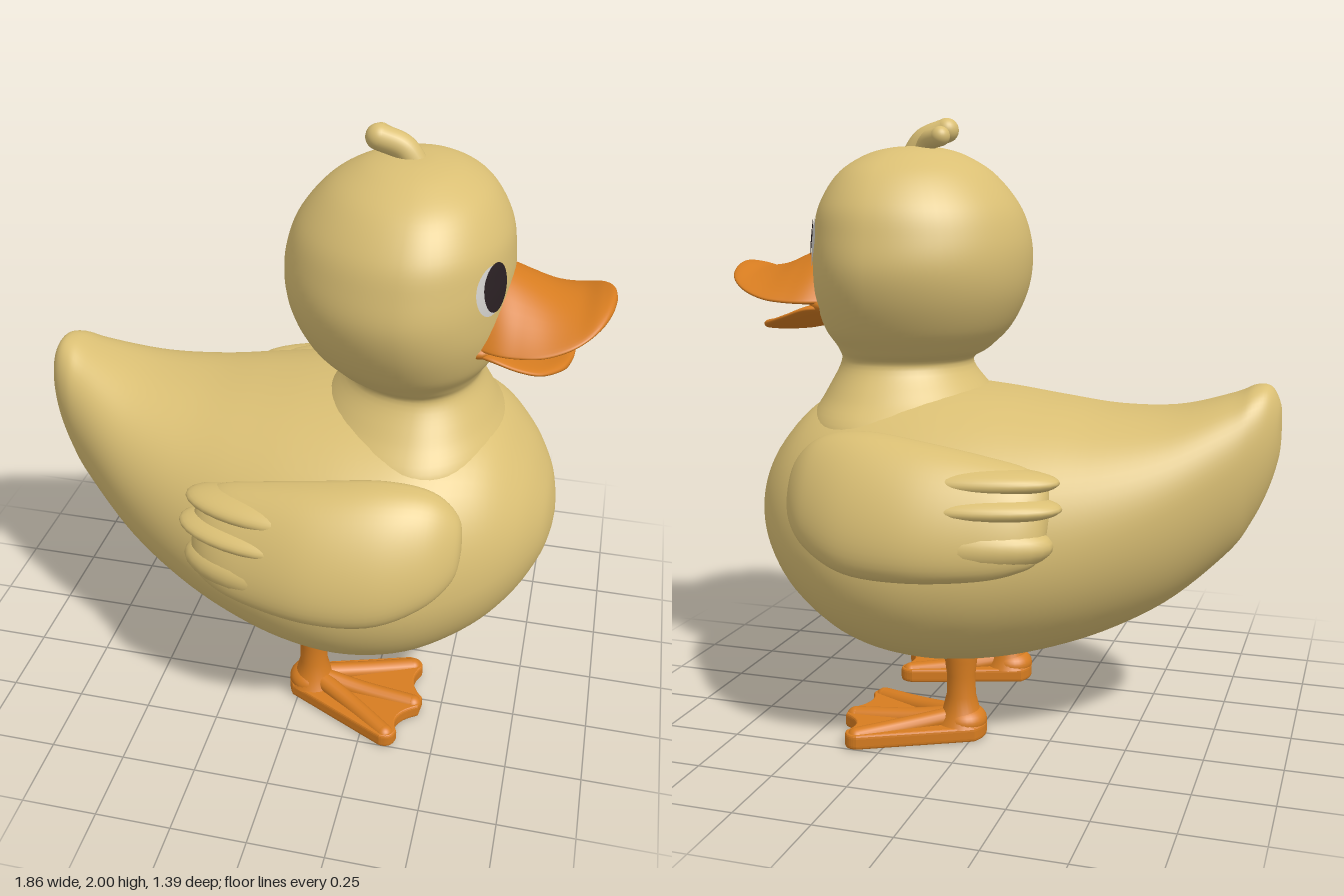
import * as THREE from 'three';

const material = (name, color) => {
  const m = new THREE.MeshStandardMaterial({ color });
  m.name = name;
  return m;
};

// Smoothly resample a table of section values, column by column
function resample(rows, count) {
  const columns = rows[0].map((_, c) => new THREE.SplineCurve(rows.map((r, i) => new THREE.Vector2(i, r[c]))));
  return Array.from({ length: count + 1 }, (_, i) => columns.map((curve) => curve.getPoint(i / count).y));
}

// Skin closed rings; section(row, angle) gives a point. Faces always end up outward.
function loft(rows, section, count = 48, sides = 48) {
  const position = [];
  const index = [];
  resample(rows, count).forEach((row) => {
    for (let j = 0; j < sides; j++) position.push(...section(row, (j / sides) * Math.PI * 2));
  });
  for (let i = 0; i < count; i++) {
    for (let j = 0; j < sides; j++) {
      const k = (j + 1) % sides;
      const a = i * sides + j, b = i * sides + k, c = a + sides, d = b + sides;
      index.push(a, b, c, b, d, c);
    }
  }
  const p = (i) => new THREE.Vector3().fromArray(position, i * 3);
  const middle = p(Math.floor(count / 2) * sides).add(p(Math.floor(count / 2) * sides + sides / 2)).multiplyScalar(0.5);
  let volume = 0;
  for (let i = 0; i < index.length; i += 3) {
    const [a, b, c] = [p(index[i]), p(index[i + 1]), p(index[i + 2])].map((v) => v.sub(middle));
    volume += a.dot(b.cross(c));
  }
  if (volume < 0) index.reverse();
  const g = new THREE.BufferGeometry();
  g.setAttribute('position', new THREE.Float32BufferAttribute(position, 3));
  g.setIndex(index);
  g.computeVertexNormals();
  return g;
}

const signedPower = (v, e) => Math.sign(v) * Math.abs(v) ** e;

// Body rows: x, top, bottom, height of widest line, half width
const BODY = [
  [-0.932, 1.06, 1.0, 1.03, 0], [-0.925, 1.11, 0.93, 1.02, 0.06], [-0.897, 1.16, 0.83, 0.99, 0.115],
  [-0.85, 1.165, 0.725, 0.95, 0.165], [-0.78, 1.135, 0.62, 0.9, 0.22], [-0.6, 1.085, 0.455, 0.79, 0.342],
  [-0.4, 1.075, 0.342, 0.71, 0.448], [-0.2, 1.095, 0.27, 0.66, 0.53], [0, 1.12, 0.228, 0.63, 0.585],
  [0.2, 1.135, 0.22, 0.62, 0.602], [0.4, 1.13, 0.256, 0.64, 0.565], [0.58, 1.08, 0.35, 0.67, 0.462],
  [0.7, 0.97, 0.46, 0.7, 0.34], [0.775, 0.855, 0.575, 0.71, 0.2], [0.803, 0.77, 0.65, 0.71, 0.085],
  [0.81, 0.71, 0.71, 0.71, 0],
];
const bodySection = ([x, top, bottom, mid, w], a) => {
  const s = Math.sin(a);
  return [x, mid + s * (s > 0 ? top - mid : mid - bottom), Math.max(w, 0) * signedPower(Math.cos(a), 0.86)];
};

// Head and neck rows: y, centre x, radius in x, radius in z. The face is flatter than the back.
const HEAD = [
  [0.85, 0.32, 0.33, 0.38], [1.0, 0.3, 0.34, 0.395], [1.1, 0.31, 0.28, 0.315], [1.2, 0.32, 0.22, 0.245],
  [1.25, 0.292, 0.252, 0.28], [1.32, 0.278, 0.307, 0.34], [1.42, 0.264, 0.344, 0.392], [1.52, 0.256, 0.356, 0.415],
  [1.62, 0.258, 0.352, 0.402], [1.72, 0.268, 0.325, 0.37], [1.82, 0.28, 0.255, 0.29], [1.88, 0.285, 0.165, 0.185],
  [1.905, 0.285, 0.08, 0.09], [1.91, 0.285, 0, 0],
];
const headX = (cx, rx, c) => cx + 0.15 * rx + rx * c * (c > 0 ? 0.85 : 1.15);
const headSection = ([y, cx, rx, rz], a) => [headX(cx, Math.max(rx, 0), Math.cos(a)), y, Math.max(rz, 0) * Math.sin(a)];

const headRings = resample(HEAD, 200);
function headFront(y, z) {
  const i = headRings.findIndex((r) => r[0] > y);
  const [a, b] = [headRings[i - 1], headRings[i]];
  const t = (y - a[0]) / (b[0] - a[0]);
  const [cx, rx, rz] = [1, 2, 3].map((c) => a[c] + (b[c] - a[c]) * t);
  return headX(cx, rx, Math.sqrt(Math.max(0, 1 - (z / rz) ** 2)));
}

// Thin oval patch that follows the face
function facePatch(cz, cy, rz, ry, lift) {
  const g = new THREE.RingGeometry(0.001, 1, 40, 8);
  const p = g.attributes.position;
  for (let i = 0; i < p.count; i++) {
    const y = cy + p.getY(i) * ry;
    const z = cz - p.getX(i) * rz;
    p.setXYZ(i, headFront(y, z) + lift, y, z);
  }
  g.computeVertexNormals();
  return g;
}

// Bill rows: x, half width, rim height, upper height at middle, lower height at middle
const UPPER_BILL = [
  [0.48, 0.2, 1.41, 1.6, 1.4], [0.58, 0.25, 1.408, 1.592, 1.41], [0.66, 0.262, 1.41, 1.56, 1.43],
  [0.74, 0.258, 1.42, 1.526, 1.438], [0.82, 0.228, 1.446, 1.513, 1.448], [0.88, 0.17, 1.478, 1.525, 1.468],
  [0.915, 0.085, 1.5, 1.527, 1.486], [0.926, 0, 1.508, 1.508, 1.508],
];
const LOWER_BILL = [
  [0.48, 0.2, 1.385, 1.4, 1.335], [0.58, 0.25, 1.385, 1.395, 1.318], [0.66, 0.248, 1.36, 1.35, 1.302],
  [0.73, 0.215, 1.337, 1.33, 1.297], [0.79, 0.135, 1.322, 1.33, 1.299], [0.812, 0.06, 1.317, 1.327, 1.307],
  [0.818, 0, 1.317, 1.317, 1.317],
];
const billSection = ([x, w, rim, top, bottom], a) => {
  const s = Math.abs(Math.sin(a));
  const up = Math.sin(a) > 0;
  const lip = (up ? 0.026 : -0.028) * Math.min(1, Math.max(w, 0) / 0.12);
  return [x, rim + lip * s + ((up ? top : bottom) - rim - lip) * s ** 2.5, Math.max(w, 0) * Math.cos(a)];
};

// Wing rows: x, top, bottom, centre z, half thickness. The inner side is flatter.
const WING = [
  [0.552, 0.84, 0.84, 0.455, 0], [0.535, 0.93, 0.75, 0.46, 0.05], [0.45, 1.005, 0.675, 0.485, 0.105],
  [0.3, 1.03, 0.62, 0.515, 0.14], [0.1, 1.01, 0.612, 0.53, 0.142], [-0.1, 0.975, 0.625, 0.515, 0.115],
  [-0.22, 0.945, 0.65, 0.495, 0.09], [-0.285, 0.9, 0.69, 0.48, 0.05], [-0.3, 0.8, 0.8, 0.475, 0],
];
const wingSection = (side) => ([x, top, bottom, cz, t], a) => {
  const dy = ((top - bottom) / 2) * Math.sin(a);
  const c = Math.cos(a);
  const reach = Math.max(t, 0) * signedPower(c, 0.8) * (c < 0 ? 0.6 : 1);
  return [x, (top + bottom) / 2 + dy, side * (cz + reach - 0.36 * dy)];
};

export function createModel() {
  const model = new THREE.Group();
  model.name = 'duckling';
  const down = material('yellow down', 0xdabf74);
  const orange = material('orange skin', 0xd67c20);
  const brown = material('brown sole', 0x843c14);
  const dark = material('dark pupil', 0x2a2023);
  const white = material('eye white', 0xd2d0cc);

  const add = (name, geometry, mat, parent = model) => {
    const mesh = new THREE.Mesh(geometry, mat);
    mesh.name = name;
    parent.add(mesh);
    return mesh;
  };
  const ball = (name, mat, at, size, parent) => {
    const mesh = add(name, new THREE.SphereGeometry(1, 28, 20), mat, parent);
    mesh.position.set(...at);
    mesh.scale.set(...size);
    return mesh;
  };
  const finger = (name, points, r, mat, parent) => {
    const path = new THREE.CatmullRomCurve3(points.map((p) => new THREE.Vector3(...p)));
    add(name, new THREE.TubeGeometry(path, 20, r, 16), mat, parent);
    ball(name + 'Tip', mat, points[points.length - 1], [r, r, r], parent);
  };

  add('body', loft(BODY, bodySection, 80, 64), down);
  add('headAndNeck', loft(HEAD, headSection, 72, 64), down);

  // Bill with the back of the mouth filled in
  add('upperBill', loft(UPPER_BILL, billSection), orange);
  add('lowerBill', loft(LOWER_BILL, billSection), orange);
  ball('mouth', orange, [0.53, 1.395, 0], [0.1, 0.055, 0.25]);

  // Curled tuft on the crown
  finger('tuftLarge', [[0.3, 1.87, 0], [0.255, 1.93, 0], [0.18, 1.96, 0.005]], 0.04, down);
  finger('tuftSmall', [[0.26, 1.87, -0.02], [0.22, 1.925, -0.055], [0.17, 1.938, -0.088]], 0.032, down);

  for (const side of [1, -1]) {
    const prefix = side > 0 ? 'left' : 'right';
    add(prefix + 'EyeWhite', facePatch(side * 0.22, 1.6, 0.067, 0.078, 0.004), white);
    add(prefix + 'Pupil', facePatch(side * 0.204, 1.605, 0.059, 0.077, 0.008), dark);

    // Wing with three long feather lobes towards the back
    const wing = new THREE.Group();
    wing.name = prefix + 'Wing';
    model.add(wing);
    add('wingBody', loft(WING, wingSection(side)), down, wing);
    [[-0.08, 0.908, 0.486, 0.25, 0.045, 0.1], [-0.09, 0.835, 0.515, 0.255, 0.045, 0.115], [-0.07, 0.725, 0.54, 0.255, 0.085, 0.115]]
      .forEach(([x, y, z, a, b, c]) => {
        const feather = ball('feather', down, [x, y, side * z], [a, b, c], wing);
        feather.rotation.y = -side * 0.17;
      });

    // Leg, flared at both ends
    const profile = [[0.085, 0.045], [0.062, 0.085], [0.048, 0.14], [0.047, 0.21], [0.053, 0.26], [0.055, 0.31]];
    const leg = add(prefix + 'Leg', new THREE.LatheGeometry(profile.map((p) => new THREE.Vector2(...p)), 28), orange);
    leg.position.set(0.045, 0, side * 0.275);

    // Webbed foot: scalloped web, brown sole, three toes and a heel
    const foot = new THREE.Group();
    foot.name = prefix + 'Foot';
    model.add(foot);
    const outline = new THREE.Shape();
    outline.moveTo(-0.015, side * 0.22);
    outline.lineTo(0.36, side * 0.1);
    outline.quadraticCurveTo(0.41, side * 0.1, 0.405, side * 0.14);
    outline.quadraticCurveTo(0.36, side * 0.22, 0.43, side * 0.29);
    outline.lineTo(0.425, side * 0.335);
    outline.quadraticCurveTo(0.33, side * 0.39, 0.37, side * 0.465);
    outline.quadraticCurveTo(0.365, side * 0.505, 0.325, side * 0.5);
    outline.lineTo(-0.015, side * 0.33);
    outline.quadraticCurveTo(-0.05, side * 0.275, -0.015, side * 0.22);
    const web = new THREE.ExtrudeGeometry(outline, {
      depth: 0.024, bevelThickness: 0.012, bevelSize: 0.006, bevelSegments: 3, curveSegments: 10,
    });
    add('web', web.rotateX(Math.PI / 2).translate(0, 0.038, 0), orange, foot);
    add('sole', new THREE.ShapeGeometry(outline, 10).rotateX(Math.PI / 2).translate(0, 0.0005, 0), brown, foot);
    for (const [x, z] of [[0.375, 0.128], [0.405, 0.312], [0.335, 0.473]]) {
      finger('toe', [[0.04, 0.07, side * 0.275], [0.2, 0.046, side * (0.275 + z) / 2], [x, 0.033, side * z]], 0.031, orange, foot);
    }
    ball('heel', orange, [0.035, 0.055, side * 0.275], [0.075, 0.05, 0.075], foot);
  }
  return model;
}
